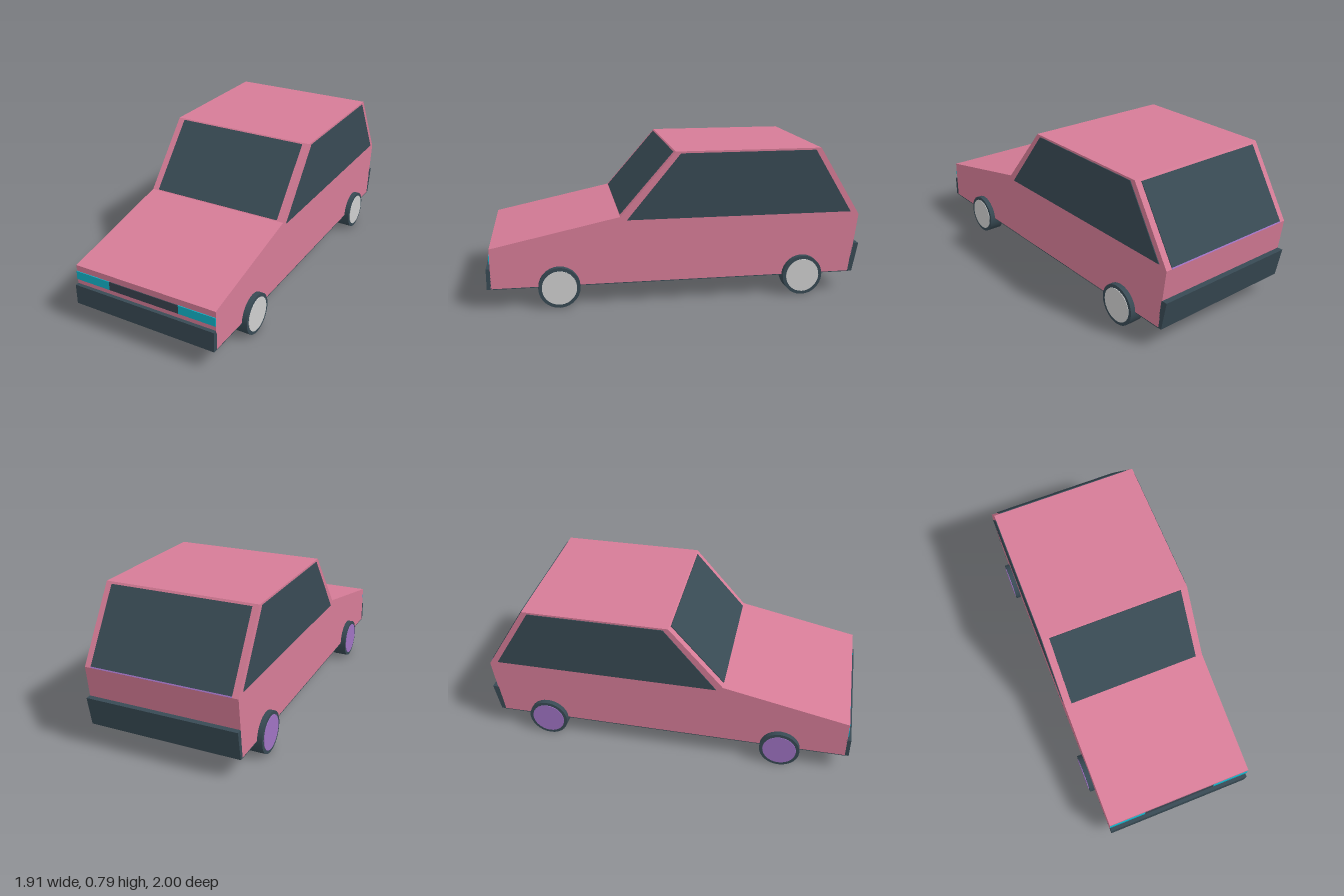
import * as THREE from 'three';

const mat = (name, color) => Object.assign(new THREE.MeshStandardMaterial({ color }), { name });

export function createModel() {
  const paint = mat('rose paint', 0xd67c97);
  const dark = mat('dark slate', 0x384a54);
  const lamp = mat('teal lamp', 0x12b4ca);
  const grilleGrey = mat('grille grey', 0x3a434f);
  const silver = mat('silver', 0xcecece);
  const purple = mat('purple', 0x9f72c2);

  const HALF = 0.403; // half the body width
  const car = new THREE.Group();
  car.name = 'car';

  // Extrudes a side profile of [z, y] points across x, from x0 to x1
  function slab(name, profile, x0, x1, material) {
    const shape = new THREE.Shape(profile.map(([z, y]) => new THREE.Vector2(z, y)));
    const geo = new THREE.ExtrudeGeometry(shape, { depth: x1 - x0, bevelEnabled: false });
    geo.rotateY(-Math.PI / 2).translate(x1, 0, 0);
    const mesh = new THREE.Mesh(geo, material);
    mesh.name = name;
    car.add(mesh);
  }

  // Thin plate lying on the profile edge a-b, covering the part from t0 to t1
  function plate(name, a, b, t0, t1, x0, x1, material, thick = 0.004) {
    const d = [b[0] - a[0], b[1] - a[1]];
    const len = Math.hypot(d[0], d[1]);
    const n = [d[1] / len * thick, -d[0] / len * thick];
    const at = (t, k) => [a[0] + d[0] * t + n[0] * k, a[1] + d[1] * t + n[1] * k];
    slab(name, [at(t0, 0), at(t0, 1), at(t1, 1), at(t1, 0)], x0, x1, material);
  }

  // Body shell
  const noseLow = [0.96, 0.11], noseTop = [0.96, 0.32], cowl = [0.30, 0.46];
  const roofFront = [0.015, 0.788], roofRear = [-0.75, 0.788];
  const tailTop = [-0.975, 0.425], tailLow = [-0.935, 0.11];
  slab('body', [noseLow, noseTop, cowl, roofFront, roofRear, tailTop, tailLow], -HALF, HALF, paint);
  plate('underside', tailLow, noseLow, 0, 1, -HALF, HALF, dark);

  // Windows
  plate('windshield', cowl, roofFront, 0.01, 0.98, -0.365, 0.365, dark);
  plate('rearWindow', roofRear, tailTop, 0.03, 0.985, -0.37, 0.37, dark);
  plate('rearWindowSill', roofRear, tailTop, 0.985, 1, -0.37, 0.37, purple);
  const sideGlass = [[0.265, 0.442], [-0.012, 0.778], [-0.722, 0.778], [-0.928, 0.442]];
  for (const s of [-1, 1]) {
    const x = s * (HALF + 0.001);
    slab(s > 0 ? 'leftWindow' : 'rightWindow', sideGlass, x - 0.003, x + 0.003, dark);
  }

  // Grille and headlamps
  const [g0, g1] = [(0.241 - 0.11) / 0.21, (0.287 - 0.11) / 0.21];
  plate('grille', noseLow, noseTop, g0, g1, -0.2, 0.2, grilleGrey);
  plate('leftHeadlamp', noseLow, noseTop, g0, g1, 0.2, HALF, lamp);
  plate('rightHeadlamp', noseLow, noseTop, g0, g1, -HALF, -0.2, lamp);

  // Bumpers
  slab('frontBumper', [[0.955, 0.108], [0.98, 0.108], [0.98, 0.216], [0.955, 0.216]], -HALF, HALF, dark);
  slab('rearBumper', [[-0.93, 0.108], [-0.954, 0.108], [-0.984, 0.263], [-0.95, 0.263]], -HALF, HALF, dark);

  // Wheels, each a tyre with a flat hub disc outside
  for (const [end, z] of [['front', 0.617], ['rear', -0.667]]) {
    for (const s of [-1, 1]) {
      const wheel = new THREE.Group();
      wheel.name = end + (s > 0 ? 'Left' : 'Right') + 'Wheel';
      const disc = (name, r, x0, x1, material) => {
        const geo = new THREE.CylinderGeometry(r, r, x1 - x0, 28);
        geo.rotateZ(Math.PI / 2).translate(s * (x0 + x1) / 2, 0, 0);
        const mesh = new THREE.Mesh(geo, material);
        mesh.name = name;
        wheel.add(mesh);
      };
      disc('tyre', 0.107, 0.35, 0.43, dark);
      disc('hub', 0.089, 0.42, 0.433, s > 0 ? silver : purple);
      wheel.position.set(0, 0.107, z);
      car.add(wheel);
    }
  }

  // The car stands turned on the ground
  car.rotation.y = -0.731;
  const model = new THREE.Group();
  model.name = 'hatchback';
  model.add(car);
  return model;
}
